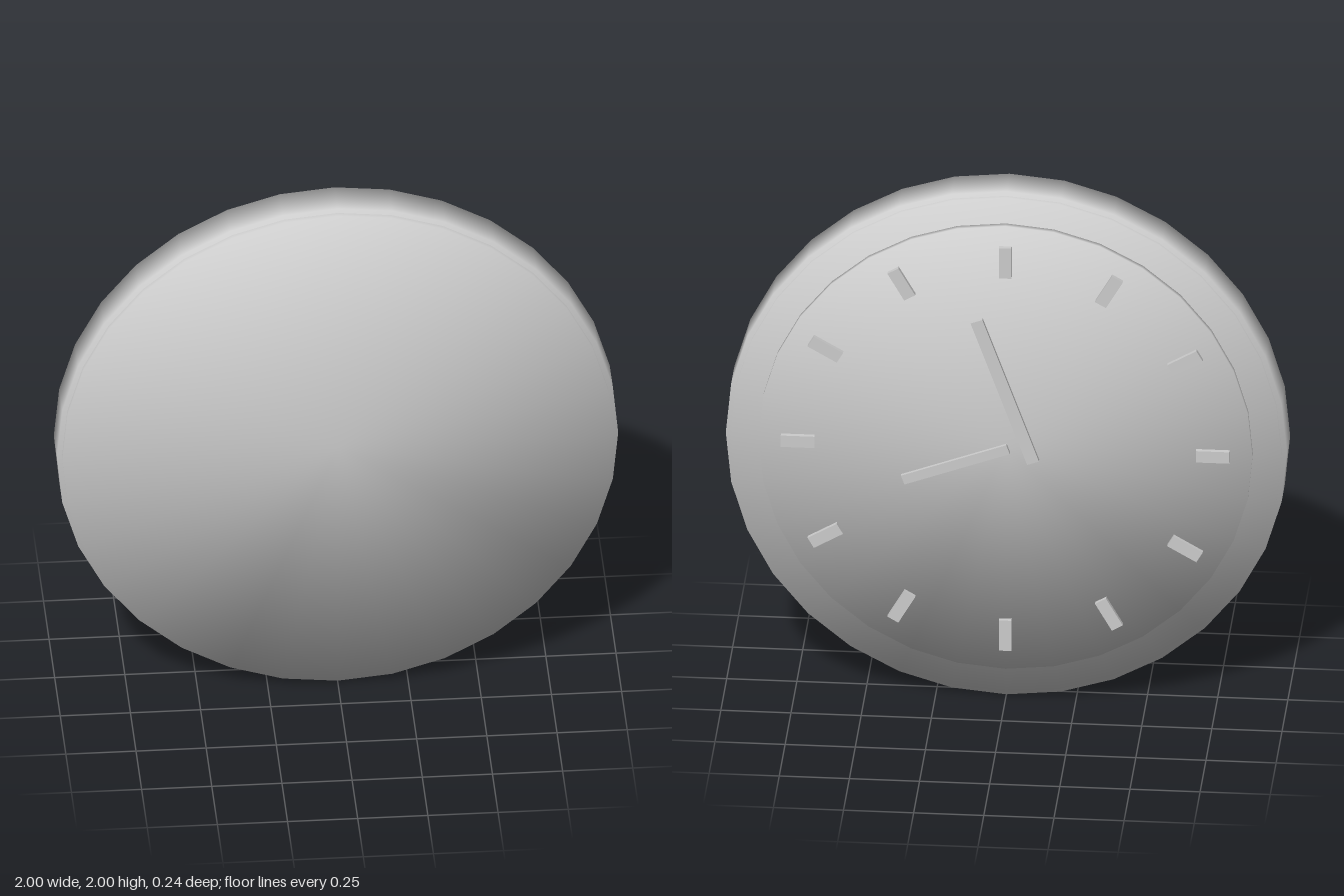
import * as THREE from 'three';

const SEGMENTS = 32;

// Disc along z whose cap and side normals blend softly at the rim
function softDisc(radius, z0, z1) {
  const geo = new THREE.CylinderGeometry(radius, radius, z1 - z0, SEGMENTS);
  const pos = geo.attributes.position;
  const normal = geo.attributes.normal;
  const n = new THREE.Vector3();
  for (let i = 0; i < pos.count; i++) {
    n.set(pos.getX(i) / radius, Math.sign(pos.getY(i)), pos.getZ(i) / radius).normalize();
    normal.setXYZ(i, n.x, n.y, n.z);
  }
  geo.rotateX(Math.PI / 2);
  geo.translate(0, 0, (z0 + z1) / 2);
  return geo;
}

export function createModel() {
  const clock = new THREE.Group();
  clock.name = 'wallClock';
  const grey = new THREE.MeshStandardMaterial({ color: 0xcccccc });
  grey.name = 'light grey';

  const add = (name, geo, parent = clock) => {
    const mesh = new THREE.Mesh(geo, grey);
    mesh.name = name;
    parent.add(mesh);
    return mesh;
  };

  // Flat bar between two depths, turned by an angle about z
  const bar = (name, w, h, z0, z1, x, y, angle, parent) => {
    const mesh = add(name, new THREE.BoxGeometry(w, h, z1 - z0), parent);
    mesh.position.set(x, y, (z0 + z1) / 2);
    mesh.rotation.z = angle;
  };

  // Case: wide rim, slightly smaller casing through it, and the raised dial
  add('rim', softDisc(1, -0.04, 0.1)).position.y = 1;
  add('casing', softDisc(0.982, -0.055, 0.12)).position.y = 1;
  add('dial', softDisc(0.88, -0.077, -0.05)).position.y = 1;

  // Twelve hour marks around the dial
  const marks = new THREE.Group();
  marks.name = 'hourMarks';
  clock.add(marks);
  for (let i = 0; i < 12; i++) {
    const a = (i * Math.PI) / 6;
    bar('hourMark', 0.045, 0.12, -0.094, -0.075,
      Math.sin(a) * 0.74, 1 + Math.cos(a) * 0.74, -a, marks);
  }

  // Hands, floating just above the dial
  const tilt = THREE.MathUtils.degToRad(-20);
  bar('minuteHand', 0.045, 0.59, -0.11, -0.095, 0, 1.235, tilt);
  bar('hourHand', 0.4, 0.037, -0.12, -0.107, 0.175, 0.945, tilt);

  return clock;
}
